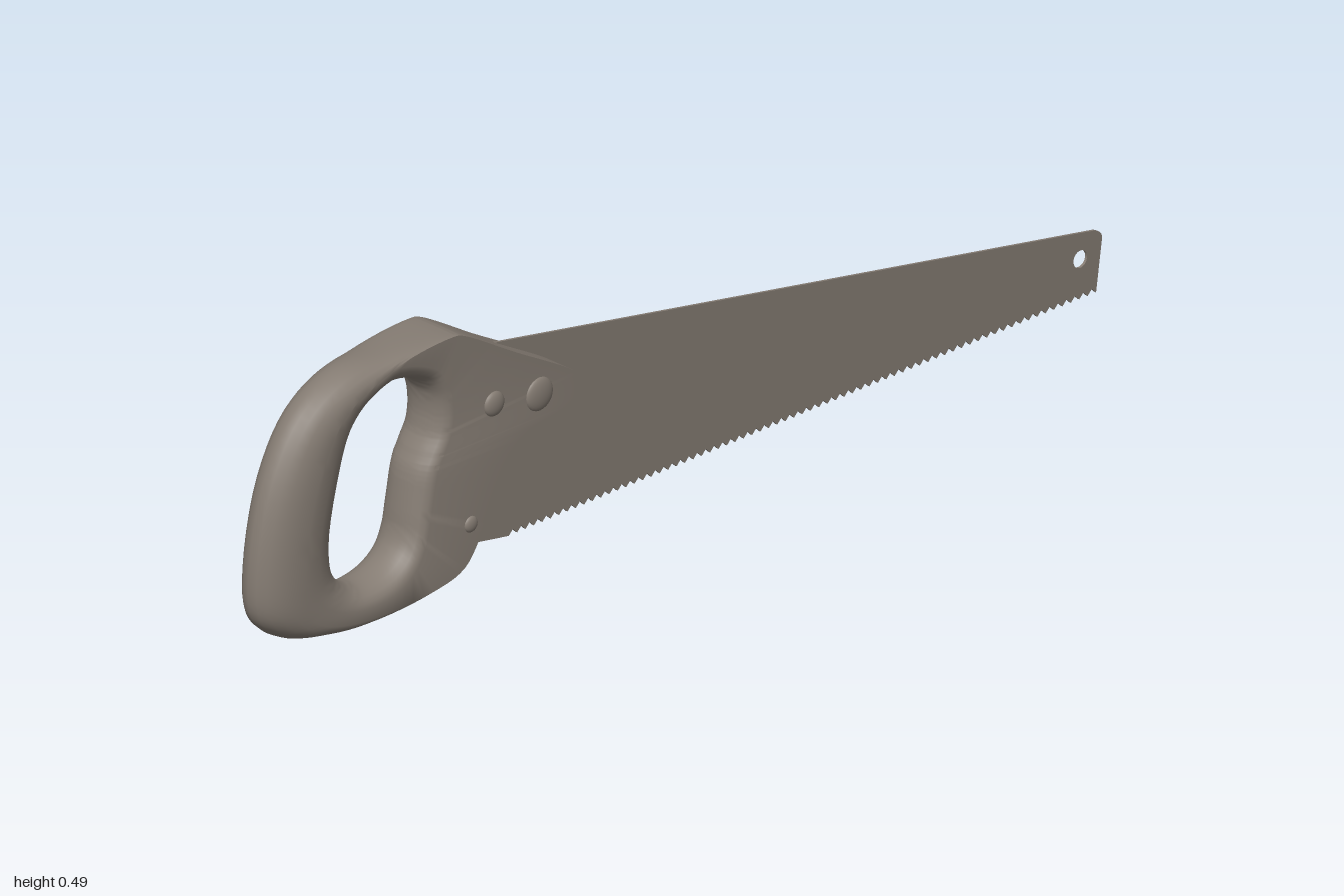
import * as THREE from 'three';
import { toCreasedNormals } from 'three/addons/utils/BufferGeometryUtils.js';

const HALF = 0.053; // half thickness of the handle

// Stations around the handle: outer x, outer y, outer rounding, inner x, inner y
const STATIONS = [
  [-0.276, 0.285, 0.001, -0.617, 0.280],
  [-0.275, 0.322, 0.001, -0.604, 0.302],
  [-0.290, 0.337, 0.001, -0.599, 0.320],
  [-0.420, 0.411, 0.001, -0.596, 0.345],
  [-0.548, 0.484, 0.001, -0.601, 0.385],
  [-0.568, 0.488, 0.002, -0.625, 0.413],
  [-0.690, 0.486, 0.012, -0.690, 0.431],
  [-0.800, 0.479, 0.045, -0.745, 0.412],
  [-0.895, 0.430, 0.070, -0.778, 0.370],
  [-0.962, 0.325, 0.080, -0.802, 0.300],
  [-0.997, 0.165, 0.085, -0.825, 0.178],
  [-0.990, 0.080, 0.080, -0.815, 0.115],
  [-0.940, 0.033, 0.060, -0.790, 0.088],
  [-0.850, 0.010, 0.035, -0.755, 0.075],
  [-0.740, 0.004, 0.018, -0.708, 0.083],
  [-0.610, 0.022, 0.006, -0.670, 0.110],
  [-0.540, 0.047, 0.001, -0.655, 0.140],
  [-0.500, 0.100, 0.001, -0.650, 0.170],
  [-0.460, 0.180, 0.001, -0.643, 0.210],
  [-0.430, 0.225, 0.001, -0.638, 0.235],
  [-0.385, 0.257, 0.001, -0.631, 0.255],
  [-0.310, 0.270, 0.001, -0.624, 0.267],
];

// Closed handle: a ring of sections, each with an outer and an inner rounded edge
function handleGeometry() {
  const closed = (pts) => new THREE.CatmullRomCurve3(pts, true, 'centripetal');
  const outer = closed(STATIONS.map(([x, y, r]) => new THREE.Vector3(x, y, r)));
  const inner = closed(STATIONS.map((s) => new THREE.Vector3(s[3], s[4], 0)));
  const rows = STATIONS.length * 5, arc = 10, cols = 2 * (arc + 1);
  const pos = [], index = [];
  for (let i = 0; i < rows; i++) {
    const o = outer.getPoint(i / rows), n = inner.getPoint(i / rows);
    const dx = n.x - o.x, dy = n.y - o.y, len = Math.hypot(dx, dy);
    const ro = Math.min(Math.max(o.z, 0.001), len * 0.5);
    const ri = Math.min(0.03 + ro * 0.55, len - ro - 0.002);
    for (let side = 0; side < 2; side++) {
      for (let k = 0; k <= arc; k++) {
        const a = (k / arc - 0.5) * Math.PI;
        const d = side === 0 ? ro * (1 - Math.cos(a)) : len - ri * (1 - Math.cos(a));
        const z = HALF * Math.sin(a) * (side === 0 ? 1 : -1);
        pos.push(o.x + dx * d / len, o.y + dy * d / len, z);
      }
    }
    const next = (i + 1) % rows;
    for (let j = 0; j < cols; j++) {
      const k = (j + 1) % cols;
      const a = i * cols + j, b = next * cols + j, c = next * cols + k, d = i * cols + k;
      index.push(a, b, c, a, c, d);
    }
  }
  const geo = new THREE.BufferGeometry();
  geo.setAttribute('position', new THREE.Float32BufferAttribute(pos, 3));
  geo.setIndex(index);
  return toCreasedNormals(geo, 0.75);
}

// Thin tapered blade with a toothed lower edge and a hanging hole
function bladeGeometry() {
  const thickness = 0.005, teeth = 70;
  const start = new THREE.Vector2(-0.39, 0.042), end = new THREE.Vector2(0.985, 0.053);
  const shape = new THREE.Shape();
  shape.moveTo(-0.44, 0.405);
  shape.lineTo(-0.54, 0.2);
  shape.lineTo(-0.54, 0.066);
  shape.lineTo(start.x, start.y);
  for (let i = 0; i < teeth; i++) {
    const valley = start.clone().lerp(end, (i + 0.5) / teeth);
    const tip = start.clone().lerp(end, (i + 1) / teeth);
    shape.lineTo(valley.x, valley.y + 0.01);
    shape.lineTo(tip.x, tip.y);
  }
  shape.lineTo(0.999, 0.15);
  shape.quadraticCurveTo(1.0, 0.164, 0.98, 0.17);
  shape.lineTo(-0.42, 0.412);
  shape.closePath();
  const hole = new THREE.Path();
  hole.absarc(0.948, 0.127, 0.016, 0, Math.PI * 2, true);
  shape.holes.push(hole);
  const geo = new THREE.ExtrudeGeometry(shape, { depth: thickness, bevelEnabled: false, curveSegments: 16 });
  return geo.translate(0, 0, -thickness / 2);
}

export function createModel() {
  const group = new THREE.Group();
  group.name = 'handSaw';
  const material = new THREE.MeshStandardMaterial({ color: 0x857c73 });
  material.name = 'warm grey';
  const add = (name, geometry) => {
    const mesh = new THREE.Mesh(geometry, material);
    mesh.name = name;
    group.add(mesh);
    return mesh;
  };

  add('handle', handleGeometry());
  add('blade', bladeGeometry());

  // Domed rivets on both faces: x, y, radius, height
  const rivets = [
    [-0.367, 0.316, 0.031, 0.01],
    [-0.473, 0.332, 0.023, 0.01],
    [-0.527, 0.125, 0.015, 0.007],
  ];
  for (const [x, y, r, h] of rivets) {
    for (const side of [1, -1]) {
      const dome = new THREE.SphereGeometry(1, 24, 8, 0, Math.PI * 2, 0, Math.PI / 2);
      dome.rotateX(side * Math.PI / 2);
      dome.scale(r, r, h);
      add('rivet', dome).position.set(x, y, side * (HALF - 0.0005));
    }
  }
  return group;
}
